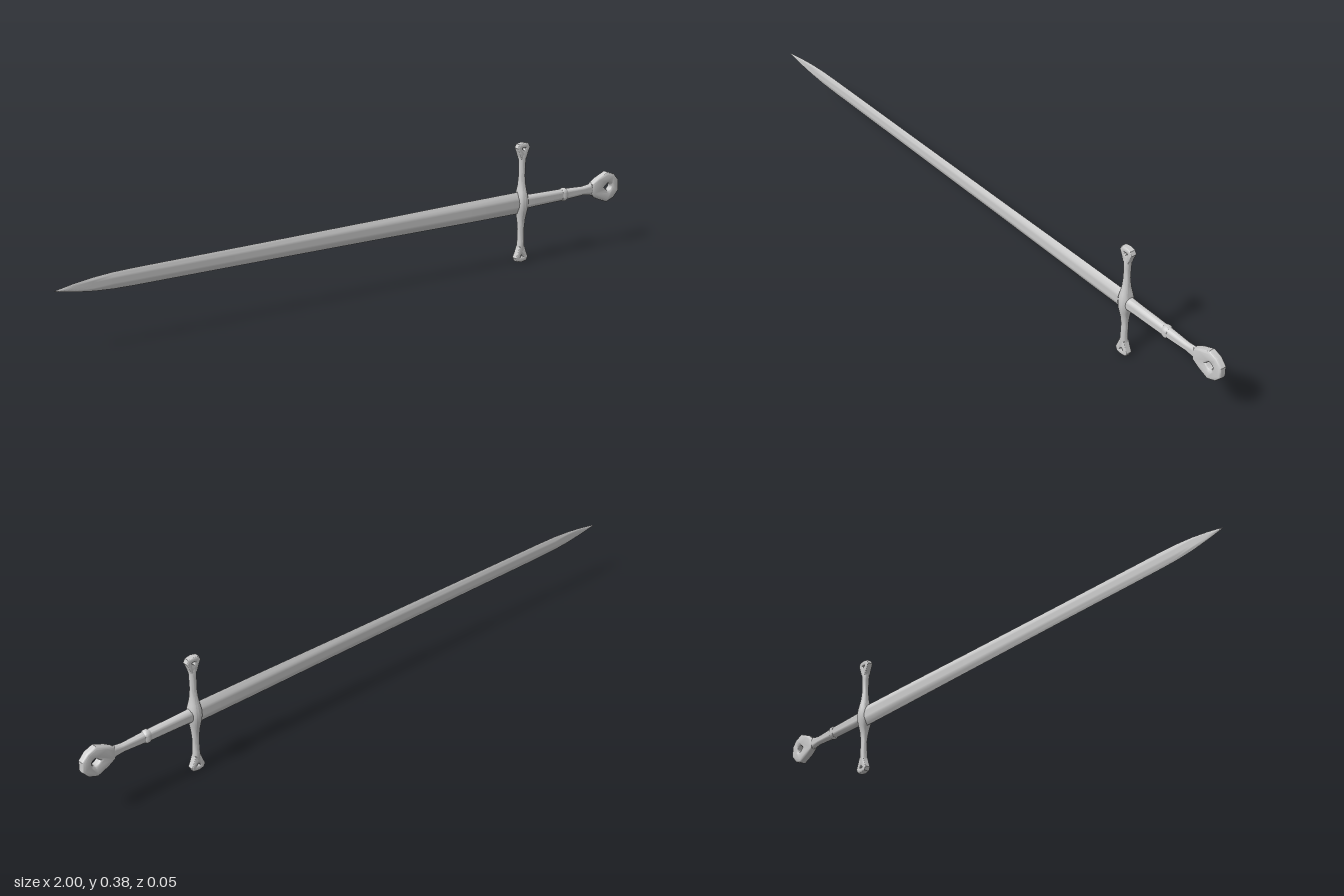
import * as THREE from 'three';
import { toCreasedNormals } from 'three/addons/utils/BufferGeometryUtils.js';

const MID = 0.193; // height of the sword's long axis
const material = new THREE.MeshStandardMaterial({ color: 0xcccccc });

// Loft along x. Stations are [x, half height, half depth]; lens gives two sharp edges.
function loft(stations, sides, lens = false) {
  const pos = [], index = [];
  for (const [x, a, b] of stations) {
    for (let j = 0; j < sides; j++) {
      const t = (j / sides) * Math.PI * 2, s = Math.sin(t);
      pos.push(x, a * Math.cos(t), b * (lens ? s * Math.abs(s) : s));
    }
  }
  for (let i = 0; i < stations.length - 1; i++) {
    for (let j = 0; j < sides; j++) {
      const k = (j + 1) % sides;
      const p = i * sides + j, q = i * sides + k;
      index.push(p, q, p + sides, q, q + sides, p + sides);
    }
  }
  const g = new THREE.BufferGeometry();
  g.setAttribute('position', new THREE.Float32BufferAttribute(pos, 3));
  g.setIndex(index);
  return toCreasedNormals(g, 0.7);
}

// Bevelled plate with an eyelet, centred on z = 0
function eyelet(outline, hole, depth, bevel) {
  const toPoints = (list) => list.map(([x, y]) => new THREE.Vector2(x, y));
  const shape = new THREE.Shape(toPoints(outline));
  const path = new THREE.Path();
  path.setFromPoints(new THREE.SplineCurve(toPoints([...hole, hole[0]])).getPoints(20));
  shape.holes.push(path);
  const g = new THREE.ExtrudeGeometry(shape, {
    depth, bevelEnabled: true, bevelThickness: bevel, bevelSize: bevel, bevelSegments: 3,
  });
  g.translate(0, 0, -depth / 2);
  return toCreasedNormals(g, 0.7);
}

function add(parent, name, geometry) {
  const mesh = new THREE.Mesh(geometry, material);
  mesh.name = name;
  parent.add(mesh);
  return mesh;
}

export function createModel() {
  const sword = new THREE.Group();
  sword.name = 'sword';
  const body = new THREE.Group();
  body.name = 'swordBody';
  body.position.y = MID;
  sword.add(body);

  // Blade with a long, curved taper to the point
  add(body, 'blade', loft([
    [-1, 0, 0], [-0.99, 0.003, 0.002], [-0.94, 0.012, 0.004], [-0.88, 0.020, 0.005],
    [-0.82, 0.0245, 0.006], [-0.75, 0.026, 0.006], [-0.35, 0.028, 0.008],
    [0.1, 0.031, 0.010], [0.4, 0.034, 0.013], [0.6, 0.035, 0.014], [0.615, 0, 0],
  ], 24, true));

  // Grip, with a collar before the slimmer neck that flares into the pommel
  add(body, 'grip', loft([
    [0.61, 0, 0], [0.61, 0.023, 0.017], [0.66, 0.021, 0.015], [0.77, 0.019, 0.014],
    [0.86, 0.0145, 0.011], [0.885, 0.018, 0.011], [0.91, 0.027, 0.011],
    [0.932, 0.025, 0.008], [0.932, 0, 0],
  ], 16));
  add(body, 'gripCollar', loft([
    [0.77, 0, 0], [0.77, 0.019, 0.015], [0.776, 0.022, 0.017], [0.784, 0.022, 0.017],
    [0.79, 0.018, 0.014], [0.79, 0, 0],
  ], 16));

  // Ring pommel with a teardrop eye
  add(body, 'pommel', eyelet(
    [[0.898, -0.014], [0.918, -0.027], [0.952, -0.041], [0.976, -0.032], [0.992, -0.014],
      [0.992, 0.014], [0.976, 0.032], [0.952, 0.041], [0.918, 0.027], [0.898, 0.014]],
    [[0.930, 0], [0.952, 0.019], [0.970, 0.014], [0.977, 0], [0.970, -0.014], [0.952, -0.019]],
    0.010, 0.008));

  // Crossguard: swollen centre, waisted arms and eyelet ends
  const guard = new THREE.Group();
  guard.name = 'crossguard';
  guard.position.x = 0.612;
  body.add(guard);

  const arms = [
    [0, 0.021, 0.024], [0.018, 0.020, 0.023], [0.035, 0.016, 0.019], [0.055, 0.013, 0.014],
    [0.085, 0.011, 0.010], [0.125, 0.011, 0.012], [0.15, 0.013, 0.012], [0.162, 0.014, 0.010],
    [0.162, 0, 0],
  ];
  const mirrored = arms.slice(1).reverse().map(([x, a, b]) => [-x, a, b]);
  add(guard, 'guardBar', loft([...mirrored, ...arms], 16)).rotation.z = Math.PI / 2;

  const finial = eyelet(
    [[-0.007, 0.145], [0.007, 0.145], [0.013, 0.162], [0.019, 0.176], [0.015, 0.184],
      [0, 0.187], [-0.015, 0.184], [-0.019, 0.176], [-0.013, 0.162]],
    [[0, 0.161], [0.010, 0.172], [0.008, 0.179], [-0.008, 0.179], [-0.010, 0.172]],
    0.012, 0.005);
  for (const side of [1, -1]) {
    add(guard, side > 0 ? 'upperFinial' : 'lowerFinial', finial).rotation.z = side > 0 ? 0 : Math.PI;
  }

  return sword;
}
